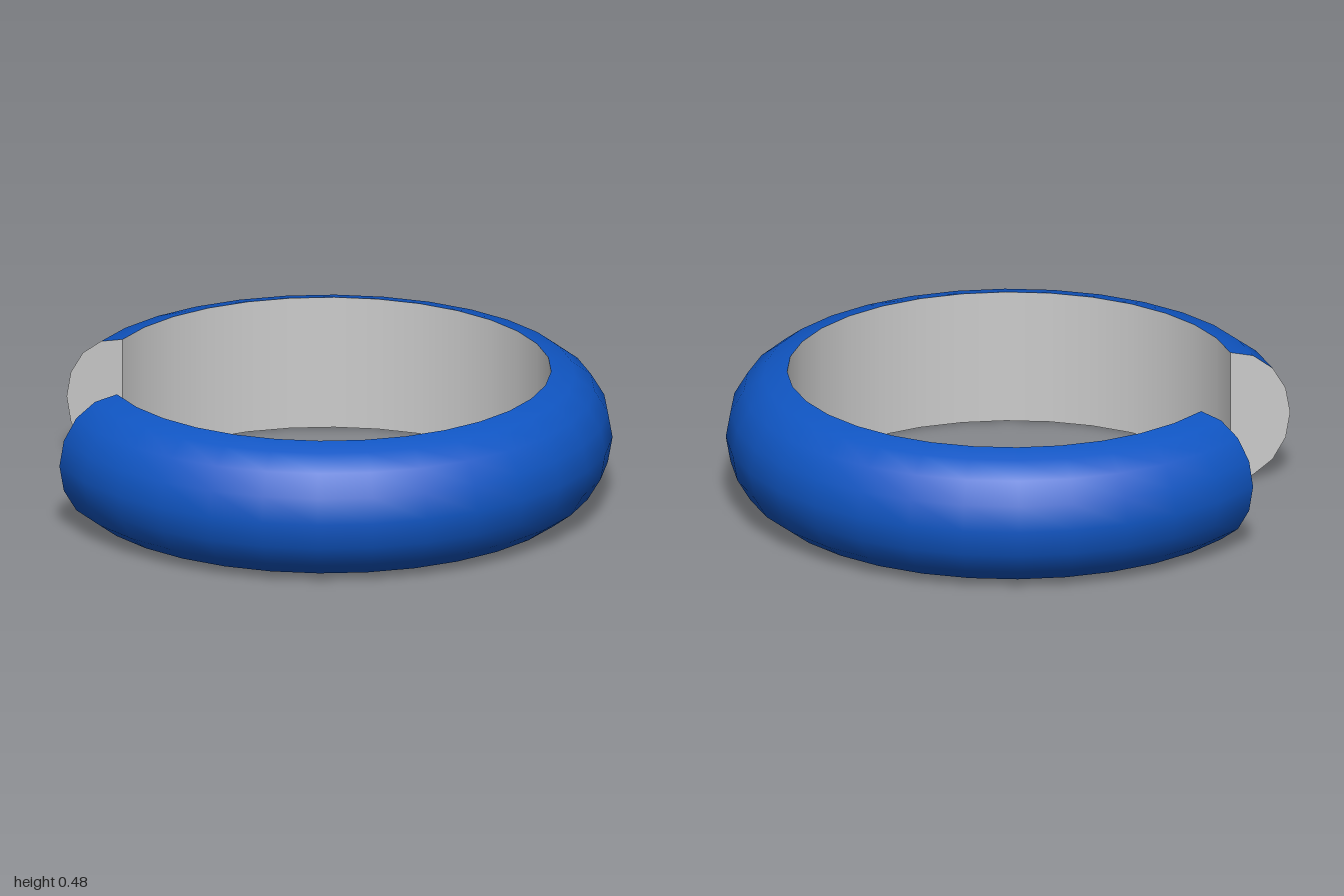
import * as THREE from 'three';

const INNER = 0.785, DEPTH = 0.215, HALF = 0.24; // band radius, thickness, half height
const CENTRE_X = -0.04;
const START = -Math.PI * 3 / 8, ARC = Math.PI * 7 / 4; // 45 degree gap facing -x
const SEGMENTS = 28;

export function createModel() {
  const model = new THREE.Group();
  model.name = 'openRing';
  const blue = new THREE.MeshStandardMaterial({ color: 0x1056c4 });
  const grey = new THREE.MeshStandardMaterial({ color: 0xcccccc });
  const greyCap = new THREE.MeshStandardMaterial({ color: 0xcccccc, side: THREE.DoubleSide });

  const add = (name, geometry, material) => {
    const mesh = new THREE.Mesh(geometry, material);
    mesh.name = name;
    mesh.position.set(CENTRE_X, HALF, 0);
    model.add(mesh);
    return mesh;
  };

  // Half-oval cross-section, from bottom to top
  const profile = [];
  for (let i = 0; i <= 8; i++) {
    const a = -Math.PI / 2 + (i * Math.PI) / 8;
    profile.push(new THREE.Vector2(INNER + DEPTH * Math.cos(a), HALF * Math.sin(a)));
  }

  // Rounded outside and flat inside of the band
  add('outerBand', new THREE.LatheGeometry(profile, SEGMENTS, START, ARC), blue);
  const flat = [profile[8], profile[0]];
  add('innerBand', new THREE.LatheGeometry(flat, SEGMENTS, START, ARC), grey);

  // Flat caps on both sides of the gap
  const capGeometry = new THREE.ShapeGeometry(new THREE.Shape(profile));
  for (const [name, phi] of [['backEndCap', START + ARC], ['frontEndCap', START]]) {
    add(name, capGeometry, greyCap).rotation.y = phi - Math.PI / 2;
  }
  return model;
}
